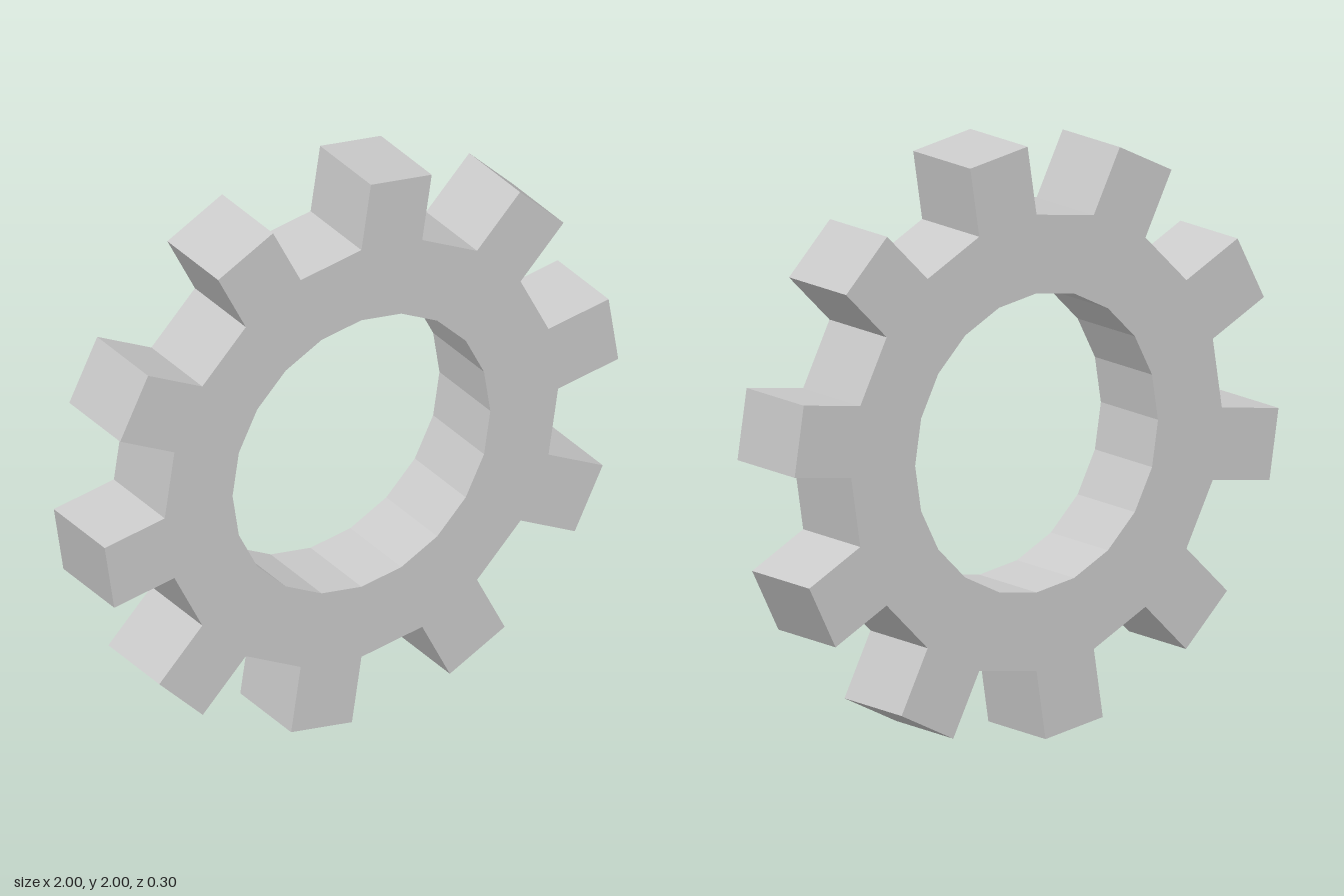
import * as THREE from 'three';

const TEETH = 10, SIDES = 20;
const ROOT = 0.766, TOOTH = 0.237, BORE = 0.502, DEPTH = 0.302;

const polar = (r, a) => new THREE.Vector2(r * Math.cos(a), r * Math.sin(a));

export function createModel() {
  const group = new THREE.Group();
  group.name = 'gear';
  const step = (2 * Math.PI) / SIDES;

  // Outline: every other side of a 20-sided rim is pushed out into a square tooth
  const outline = [];
  for (let i = 0; i < TEETH; i++) {
    const a = 2 * i * step;
    const start = polar(ROOT, a), end = polar(ROOT, a + step);
    const out = polar(TOOTH, a + step / 2);
    outline.push(start, start.clone().add(out), end.clone().add(out), end);
  }
  const shape = new THREE.Shape(outline);

  // Faceted bore
  const bore = [];
  for (let i = 0; i < SIDES; i++) bore.push(polar(BORE, -i * step));
  shape.holes.push(new THREE.Path(bore));

  const geometry = new THREE.ExtrudeGeometry(shape, { depth: DEPTH, bevelEnabled: false });
  geometry.translate(0, 1, -DEPTH / 2);
  const material = new THREE.MeshStandardMaterial({ color: 0xcccccc, flatShading: true });
  const gear = new THREE.Mesh(geometry, material);
  gear.name = 'toothedRing';
  group.add(gear);
  return group;
}
